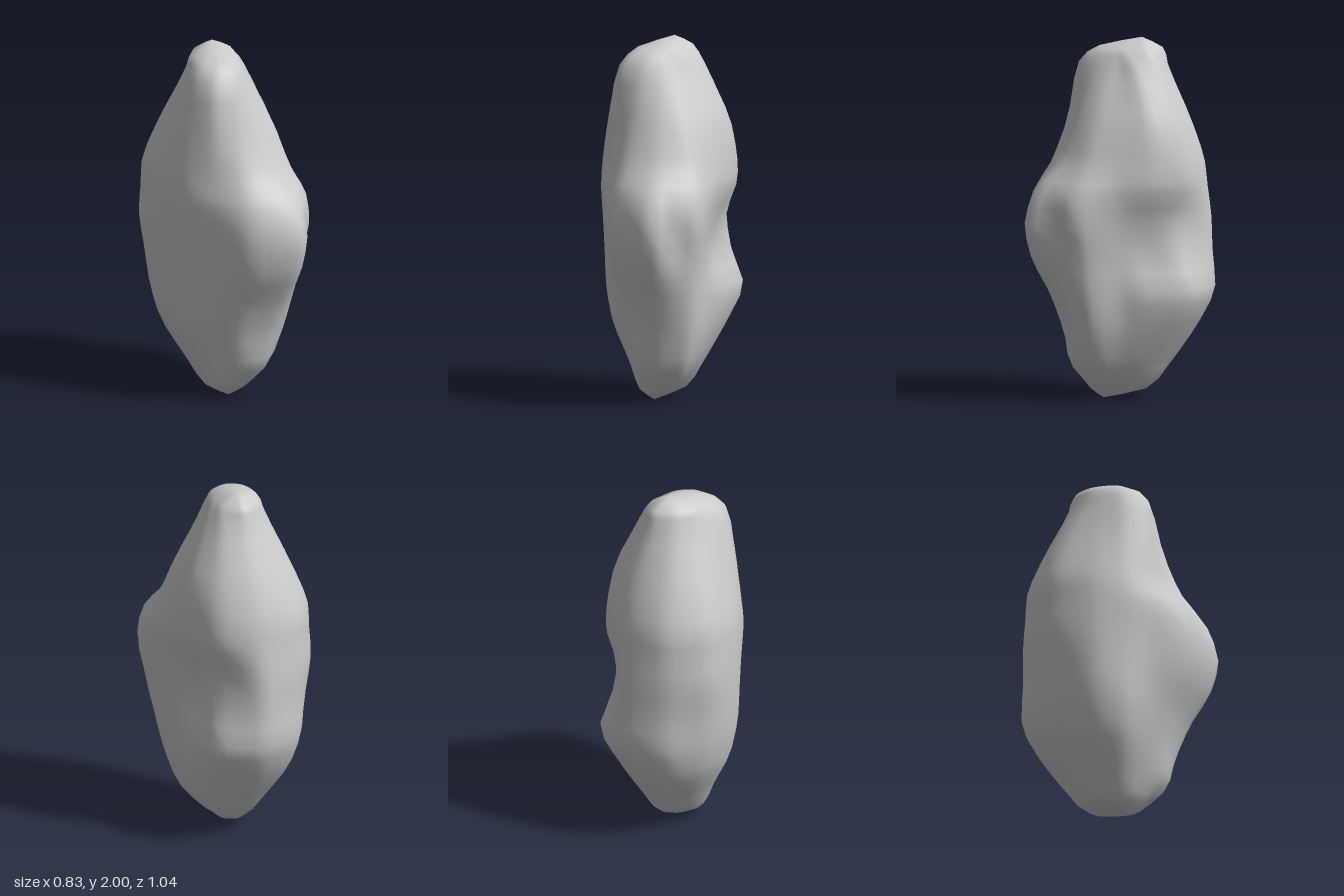
import * as THREE from 'three';
import { mergeVertices } from 'three/addons/utils/BufferGeometryUtils.js';

// Heights of the control rings, and their radii every 30 degrees from +x towards +z
const HEIGHTS = [0.06, 0.2, 0.4, 0.6, 0.8, 1.0, 1.18, 1.33, 1.55, 1.83, 1.94];
const RADII = [
  [.09, .12, .16, .17, .15, .13, .12, .12, .14, .16, .14, .10],
  [.20, .26, .29, .25, .20, .19, .20, .22, .26, .28, .24, .20],
  [.27, .34, .35, .30, .26, .28, .31, .35, .41, .42, .37, .29],
  [.29, .39, .43, .36, .30, .32, .36, .41, .49, .52, .47, .34],
  [.29, .43, .54, .45, .33, .33, .38, .44, .49, .51, .40, .28],
  [.32, .48, .585, .48, .35, .34, .39, .47, .50, .50, .37, .30],
  [.36, .46, .52, .45, .36, .35, .39, .46, .49, .48, .43, .37],
  [.34, .37, .38, .37, .33, .34, .38, .45, .48, .46, .43, .37],
  [.28, .28, .28, .29, .31, .31, .32, .36, .39, .39, .38, .34],
  [.13, .13, .16, .22, .27, .25, .22, .22, .25, .27, .25, .19],
  [.08, .08, .09, .12, .15, .16, .16, .18, .21, .24, .18, .10],
];
const BOTTOM = new THREE.Vector3(0, 0, 0.09);
const TOP = new THREE.Vector3(-0.02, 2, -0.12);

// Local pits and bumps: angle in degrees, height, angular width, vertical width, depth
const DENTS = [
  [45, 0.97, 7, 0.15, 0.055],
  [75, 0.22, 14, 0.06, -0.015],
];

function applyDents(p) {
  const deg = THREE.MathUtils.radToDeg(Math.atan2(p.z, p.x));
  for (const [angle, y, wide, tall, depth] of DENTS) {
    const da = (THREE.MathUtils.euclideanModulo(deg - angle + 180, 360) - 180) / wide;
    const dy = (p.y - y) / tall;
    const r = Math.hypot(p.x, p.z);
    const k = 1 - depth * Math.exp(-da * da - dy * dy) / Math.max(r, 0.1);
    p.x *= k;
    p.z *= k;
  }
  return p;
}

function rockGeometry(rows = 26, around = 48) {
  // Meridian curves from the bottom tip to the top
  const meridians = RADII[0].map((_, i) => {
    const a = (i / RADII[0].length) * Math.PI * 2;
    const ring = HEIGHTS.map((y, k) =>
      new THREE.Vector3(Math.cos(a) * RADII[k][i], y, Math.sin(a) * RADII[k][i]));
    return new THREE.CatmullRomCurve3([BOTTOM, ...ring, TOP], false, 'catmullrom', 0.4);
  });

  // Closed cross-sections through the meridians
  const positions = [], index = [];
  for (let j = 0; j <= rows; j++) {
    const section = new THREE.CatmullRomCurve3(
      meridians.map((m) => m.getPoint(j / rows)), true, 'catmullrom', 0.4);
    for (let i = 0; i < around; i++) {
      const p = applyDents(section.getPoint(i / around));
      positions.push(p.x, THREE.MathUtils.clamp(p.y, 0, 2), p.z);
      if (j === rows) continue;
      const a = j * around + i, b = j * around + ((i + 1) % around);
      // One triangle per side at the two tips, two elsewhere
      if (j < rows - 1) index.push(a, a + around, b + around);
      else index.push(a, a + around, b);
      if (j > 0 && j < rows - 1) index.push(a, b + around, b);
    }
  }
  const geometry = new THREE.BufferGeometry();
  geometry.setAttribute('position', new THREE.Float32BufferAttribute(positions, 3));
  geometry.setIndex(index);
  const merged = mergeVertices(geometry, 1e-5);
  merged.computeVertexNormals();
  return merged;
}

export function createModel() {
  const group = new THREE.Group();
  group.name = 'asteroid';
  const rock = new THREE.Mesh(rockGeometry(), new THREE.MeshStandardMaterial({ color: 0xcccccc }));
  rock.name = 'rock';
  group.add(rock);
  return group;
}
